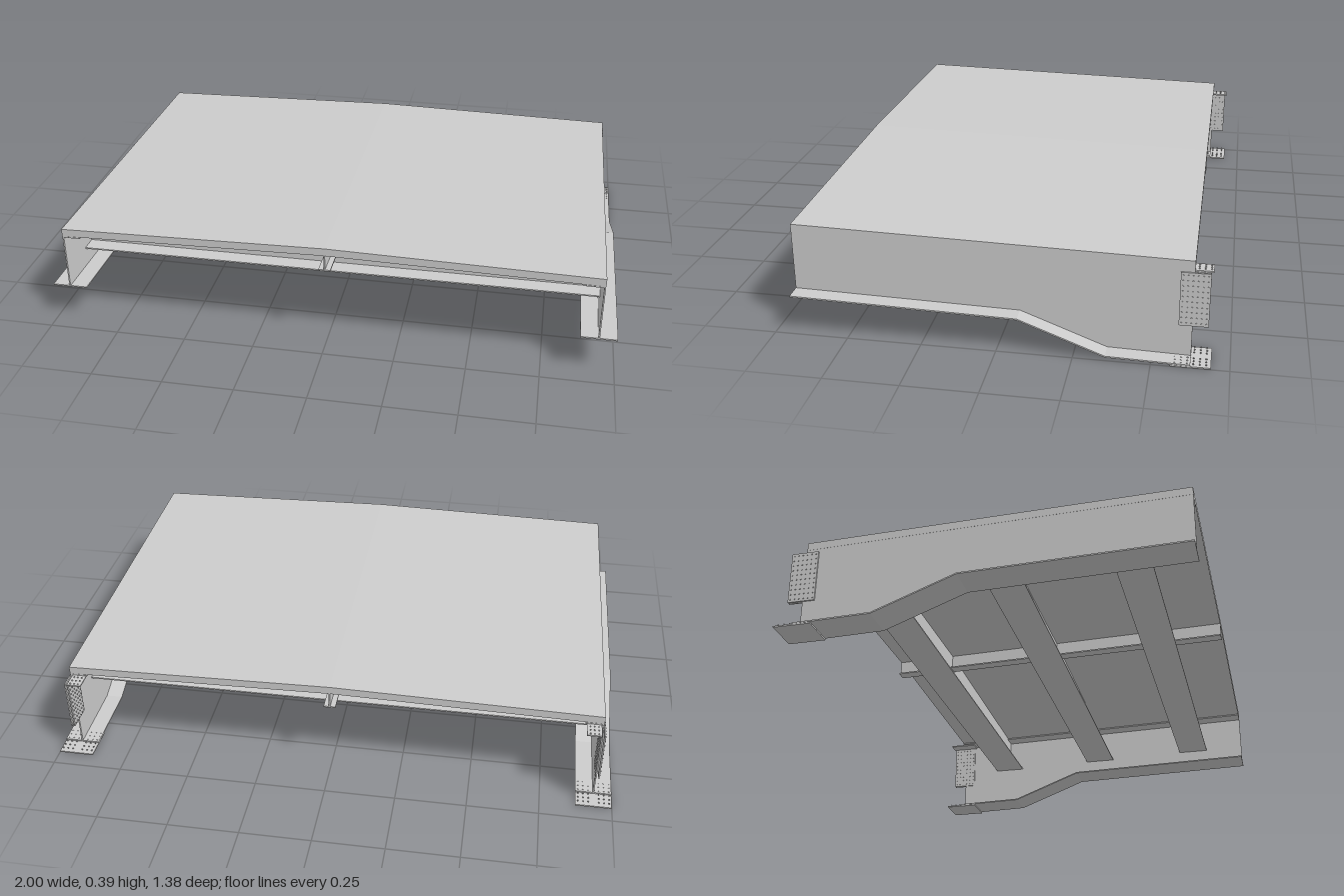
import * as THREE from 'three';

const T = 0.005;                 // plate thickness
const FRONT = 0.69, BACK = -0.625;
const WEB_X = 0.937;
const SLOPE = 0.0205;            // fall of the deck towards the back
const CROWN = 0.018;             // rise of the deck at mid width
const under = z => 0.331 + SLOPE * z;   // deck underside at its edges

const grey = new THREE.MeshStandardMaterial({ color: 0xcccccc, flatShading: true });

function add(parent, geometry, name, x = 0, y = 0, z = 0) {
  const mesh = new THREE.Mesh(geometry, grey);
  mesh.name = name;
  mesh.position.set(x, y, z);
  parent.add(mesh);
  return mesh;
}

const shapeOf = pts => new THREE.Shape(pts.map(p => new THREE.Vector2(...p)));

// Extrude an (x, y) outline along z, then shear it to follow the deck slope
function alongZ(pts, z0, z1) {
  const g = new THREE.ExtrudeGeometry(shapeOf(pts), { depth: z1 - z0, bevelEnabled: false });
  g.translate(0, 0, z0);
  const p = g.attributes.position;
  for (let i = 0; i < p.count; i++) p.setY(i, p.getY(i) + SLOPE * p.getZ(i));
  g.computeVertexNormals();
  return g;
}

// Extrude a (z, y) outline along x
function alongX(pts, x0, x1) {
  const g = new THREE.ExtrudeGeometry(shapeOf(pts.map(([z, y]) => [-z, y])), { depth: x1 - x0, bevelEnabled: false });
  g.rotateY(Math.PI / 2);
  // rotation sends the outline's -z to +z and the depth to +x
  g.translate(x0, 0, 0);
  return g;
}

const rect = (x0, x1, y0, y1) => [[x0, y0], [x1, y0], [x1, y1], [x0, y1]];

// Grid of bolts; place(i, j) gives each position, axis is the bolt direction
function bolts(parent, name, cols, rows, axis, place) {
  const g = new THREE.CylinderGeometry(0.0025, 0.0025, 0.004, 6);
  if (axis === 'x') g.rotateZ(Math.PI / 2);
  const mesh = new THREE.InstancedMesh(g, grey, cols * rows);
  mesh.name = name;
  const m = new THREE.Matrix4();
  for (let i = 0; i < cols; i++)
    for (let j = 0; j < rows; j++)
      mesh.setMatrixAt(i * rows + j, m.makeTranslation(...place(i, j)));
  parent.add(mesh);
}

// Haunched edge girder on side s (+1 or -1)
function girder(s) {
  const group = new THREE.Group();
  group.name = s > 0 ? 'leftGirder' : 'rightGirder';
  const x = s * WEB_X;
  const bottom = [[FRONT, 0.141], [-0.07, 0.125], [-0.355, 0.017], [BACK, 0.011]];

  add(group, alongX([...bottom, [BACK, under(BACK)], [FRONT, under(FRONT)]], x - T / 2, x + T / 2), 'girderWeb');

  const lower = bottom.map(([z, y]) => [z, y - T]).reverse();
  add(group, alongX([...bottom, ...lower], x - 0.0625, x + 0.0625), 'bottomFlange');

  // Top flange reaches inwards only, under the deck
  const inner = s * 0.876;
  add(group, alongZ(rect(Math.min(x, inner), Math.max(x, inner), under(0) - T, under(0)), BACK, FRONT), 'topFlange');

  // Splice plates at the back end
  for (const side of [-1, 1]) {
    const px = x + side * T;
    add(group, new THREE.BoxGeometry(T, 0.187, 0.095), 'webSplicePlate', px, 0.2135, -0.6285);
    bolts(group, 'webSpliceBolts', 6, 10, 'x',
      (i, j) => [px + side * 0.0035, 0.13 + j * 0.0186, -0.589 - i * 0.0158]);
    const fx = x + side * 0.036;
    bolts(group, 'bottomSpliceBolts', 3, 6, 'y',
      (i, j) => [fx + (i - 1) * 0.018, 0.0115, -0.575 - j * 0.02]);
  }
  add(group, new THREE.BoxGeometry(0.125, T, 0.13), 'bottomSplicePlate', x, 0.0035, -0.625);
  add(group, new THREE.BoxGeometry(0.05, T, 0.11), 'topSplicePlate', s * 0.907, under(BACK) - 0.004 - T, -0.628);
  bolts(group, 'topSpliceBolts', 3, 6, 'y',
    (i, j) => [s * (0.893 + i * 0.014), under(BACK) - 0.005, -0.58 - j * 0.019]);
  return group;
}

// Cross beam: web shaped to the deck crown, with a wide bottom flange
function crossBeam(z) {
  const group = new THREE.Group();
  group.name = 'crossBeam';
  const y0 = 0.195 + SLOPE * z, top = under(z);
  const web = new THREE.ExtrudeGeometry(
    shapeOf([[-WEB_X, y0], [WEB_X, y0], [WEB_X, top], [0, top + CROWN], [-WEB_X, top]]),
    { depth: T, bevelEnabled: false });
  add(group, web, 'crossBeamWeb', 0, 0, z - T / 2);
  add(group, new THREE.BoxGeometry(2 * WEB_X - T, T, 0.125), 'crossBeamFlange', 0, y0, z);
  return group;
}

export function createModel() {
  const model = new THREE.Group();
  model.name = 'bridgeDeckSection';

  // Crowned deck slab
  const e = under(0), h = 0.028;
  add(model, alongZ([[-0.94, e], [0, e + CROWN], [0.94, e], [0.94, e + h], [0, e + h + CROWN], [-0.94, e + h]],
    BACK, FRONT), 'deckSlab');

  // Edge girders
  for (const s of [-1, 1]) model.add(girder(s));

  // Three cross beams at equal spacing
  for (let i = -1; i <= 1; i++) model.add(crossBeam(0.0315 + i * 0.4375));

  // Shallow tee-shaped stringer under the crown
  const b = 0.289;
  add(model, alongZ(rect(-T / 2, T / 2, b, e + CROWN), BACK, FRONT), 'stringerWeb');
  add(model, alongZ(rect(-0.021, 0.021, b, b + T), BACK, FRONT), 'stringerFlange');

  return model;
}
